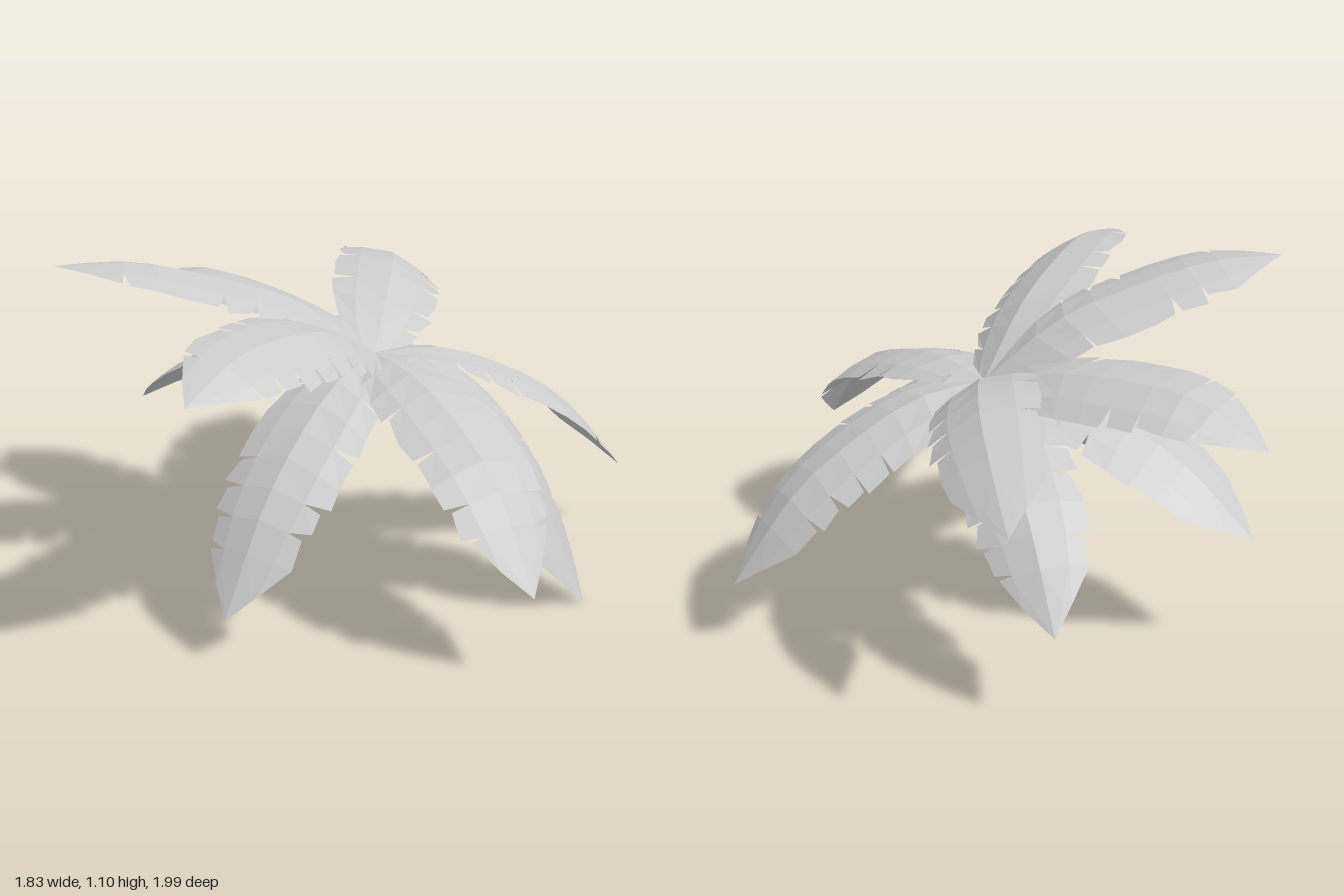
import * as THREE from 'three';

const HUB = [0.08, 0.76, 0.06];
const STRIPS = 10;

// tip x/z, ridge heights from a quarter of the way out to the tip, roll, sideways bow
const FRONDS = [
  { name: 'backFrond', tip: [0.07, -1.0], ys: [0.88, 0.9, 0.85, 0.74], roll: 0.35, bow: 0.05 },
  { name: 'backLowerFrond', tip: [-0.08, -0.87], ys: [0.76, 0.72, 0.59, 0.32], roll: 0.28, bow: 0.03 },
  { name: 'leftBackFrond', tip: [0.91, -0.31], ys: [0.75, 0.66, 0.51, 0.23], roll: -0.05, bow: 0 },
  { name: 'leftFrond', tip: [0.77, 0.31], ys: [0.75, 0.64, 0.41, 0.0], roll: 0, bow: 0 },
  { name: 'leftFrontFrond', tip: [0.59, 0.87], ys: [0.76, 0.7, 0.58, 0.28], roll: 0, bow: 0 },
  { name: 'frontUpperFrond', tip: [-0.43, 0.99], ys: [0.91, 0.975, 0.99, 0.92], roll: -0.35, bow: 0 },
  { name: 'frontLowerFrond', tip: [-0.35, 0.78], ys: [0.73, 0.62, 0.44, 0.14], roll: -0.1, bow: 0 },
  { name: 'rightFrond', tip: [-0.92, 0.25], ys: [0.95, 1.04, 1.1, 1.1], roll: 0.08, bow: 0 },
  { name: 'rightBackFrond', tip: [-0.76, -0.57], ys: [0.85, 0.89, 0.89, 0.78], roll: 0.2, bow: 0 },
  { name: 'rightBackLowerFrond', tip: [-0.75, -0.44], ys: [0.79, 0.73, 0.61, 0.4], roll: 0.15, bow: 0 },
];

// Half width of a frond along its length
const WIDTHS = [[0, 0.05], [0.1, 0.13], [0.25, 0.175], [0.45, 0.19], [0.65, 0.18], [0.82, 0.145], [1, 0]];
function halfWidth(t) {
  for (let i = 1; i < WIDTHS.length; i++) {
    const [t0, w0] = WIDTHS[i - 1], [t1, w1] = WIDTHS[i];
    if (t <= t1) return w0 + (w1 - w0) * (t - t0) / (t1 - t0);
  }
  return 0;
}

function seeded(seed) {
  let s = seed;
  return () => (s = (s * 16807) % 2147483647) / 2147483647;
}

function frondGeometry({ tip, ys, roll, bow }, seed) {
  const rand = seeded(seed);
  const dx = tip[0] - HUB[0], dz = tip[1] - HUB[2], len = Math.hypot(dx, dz);
  const points = [new THREE.Vector3(...HUB)];
  ys.forEach((y, i) => {
    const f = (i + 1) / 4, b = bow * Math.sin(Math.PI * f) / len;
    points.push(new THREE.Vector3(HUB[0] + dx * f - dz * b, y, HUB[2] + dz * f + dx * b));
  });
  const ridge = new THREE.CatmullRomCurve3(points);

  // Point on the blade: t along the ridge, w out to the side, sagging away from the ridge
  const flatSide = new THREE.Vector3(-dz, 0, dx).normalize();
  function blade(t, w) {
    const tangent = ridge.getTangentAt(t);
    const side = flatSide.clone().applyAxisAngle(tangent, roll);
    const normal = new THREE.Vector3().crossVectors(side, tangent).normalize();
    const sag = 0.12 * Math.abs(w) + 0.9 * w * w;
    return ridge.getPointAt(t).addScaledVector(side, w).addScaledVector(normal, -sag);
  }

  const pos = [];
  const quad = (a, b, c, d, flip) => {
    const order = flip ? [a, c, b, a, d, c] : [a, b, c, a, c, d];
    order.forEach((p) => pos.push(p.x, p.y, p.z));
  };

  for (const sign of [1, -1]) {
    let near = 1;
    for (let i = 0; i < STRIPS; i++) {
      const t0 = i / STRIPS, t1 = (i + 1) / STRIPS;
      // Outer corners lean towards the tip; about half the strips are torn apart
      const lean = (t, k) => t + 0.06 * k * (1 - t);
      const torn = i < STRIPS - 2 && rand() < 0.55;
      const split = torn ? 0.006 + 0.022 * rand() : 0;
      const far = torn ? 0.95 + 0.13 * rand() : 1;
      const a0 = blade(t0, 0), a1 = blade(t1, 0);
      const m0 = lean(t0, 0.5), m1 = lean(t1, 0.5);
      const b0 = blade(m0, sign * 0.6 * halfWidth(m0));
      const b1 = blade(m1, sign * 0.6 * halfWidth(m1));
      const e0 = lean(t0, 1), e1 = lean(t1, 1) - split;
      const c0 = blade(e0, sign * near * halfWidth(e0));
      const c1 = blade(e1, sign * far * halfWidth(e1));
      quad(a0, b0, b1, a1, sign < 0);
      quad(b0, c0, c1, b1, sign < 0);
      near = torn ? 0.86 + 0.14 * rand() : 1;
    }
  }
  const geometry = new THREE.BufferGeometry();
  geometry.setAttribute('position', new THREE.Float32BufferAttribute(pos, 3));
  geometry.computeVertexNormals();
  return geometry;
}

export function createModel() {
  const group = new THREE.Group();
  group.name = 'palmCrown';
  const material = new THREE.MeshStandardMaterial({ color: 0xcccccc, flatShading: true, side: THREE.DoubleSide });
  FRONDS.forEach((frond, i) => {
    const mesh = new THREE.Mesh(frondGeometry(frond, 911 + i * 7717), material);
    mesh.name = frond.name;
    group.add(mesh);
  });
  return group;
}
